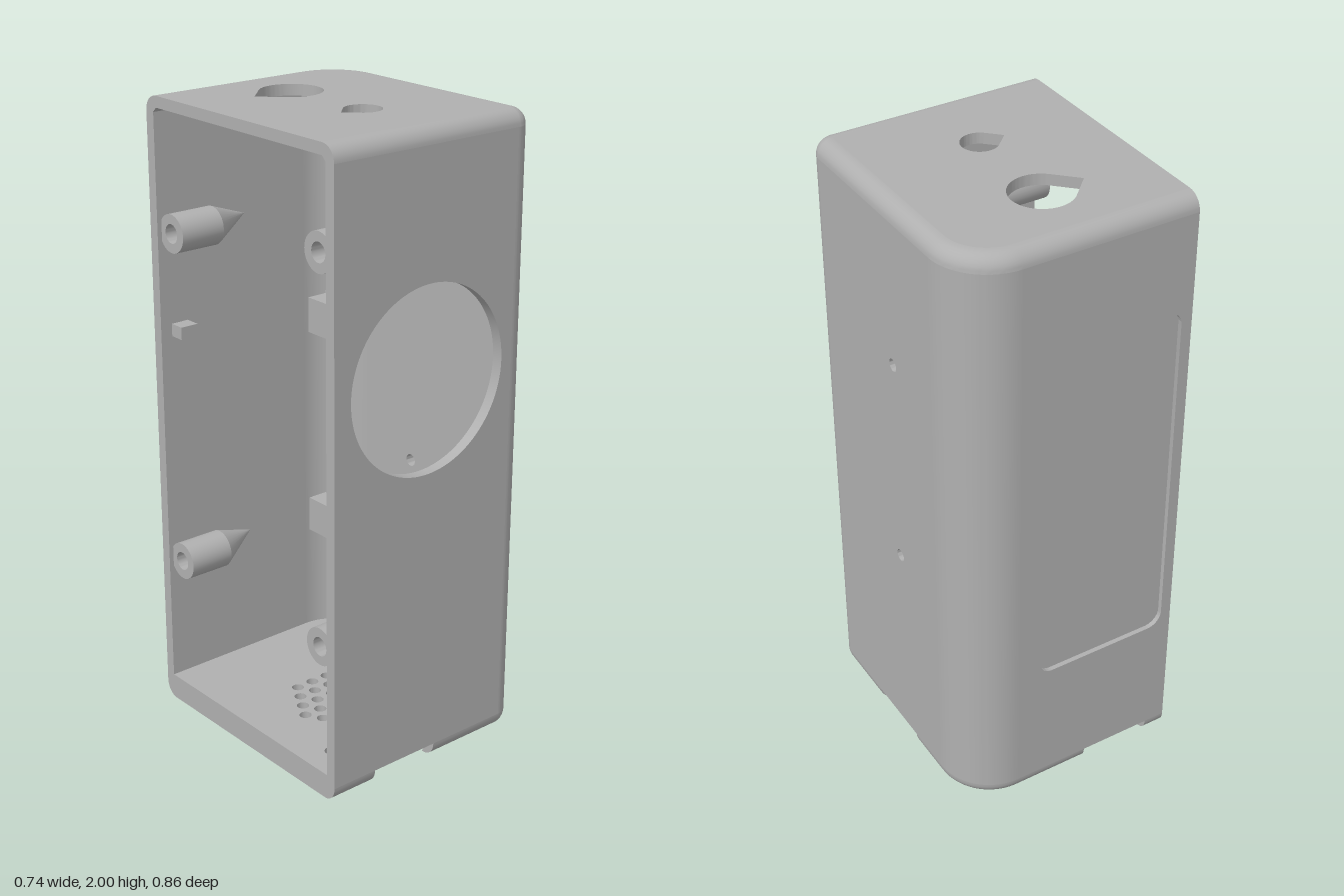
import * as THREE from 'three';
import { toCreasedNormals } from 'three/addons/utils/BufferGeometryUtils.js';

const X0 = -0.37, X1 = 0.37, Z0 = -0.43, Z1 = 0.43, H = 2;
const WALL = 0.035, F = 0.05, R_BACK = 0.18, R_FRONT = 0.06;

export function createModel() {
  const group = new THREE.Group();
  const grey = new THREE.MeshStandardMaterial({ color: 0xb0b0b0 });
  grey.name = 'grey plastic';

  const add = (name, geo, crease = 0.6) => {
    const mesh = new THREE.Mesh(toCreasedNormals(geo, crease), grey);
    mesh.name = name;
    group.add(mesh);
    return mesh;
  };
  const box = (name, x0, x1, y0, y1, z0, z1) => add(name,
    new THREE.BoxGeometry(x1 - x0, y1 - y0, z1 - z0)
      .translate((x0 + x1) / 2, (y0 + y1) / 2, (z0 + z1) / 2));

  // Outline points with outward normals, running back -> side -> front
  const pt = (x, z, nx, nz) => ({ x, z, nx, nz });
  const onBack = (x) => pt(x, Z0, 0, -1);
  const onSide = (z) => pt(X1, z, 1, 0);
  const onFront = (x) => pt(x, Z1, 0, 1);
  const arc = (cx, cz, r, a0, n = 16) => Array.from({ length: n + 1 }, (_, i) => {
    const a = a0 + (i / n) * Math.PI / 2, c = Math.cos(a), s = Math.sin(a);
    return pt(cx + r * c, cz + r * s, c, s);
  });
  const backCorner = arc(X1 - R_BACK, Z0 + R_BACK, R_BACK, -Math.PI / 2, 24);
  const frontCorner = arc(X1 - R_FRONT, Z1 - R_FRONT, R_FRONT, 0);
  const fullPath = [onBack(X0), ...backCorner, ...frontCorner, onFront(X0)];

  // Sweeps a convex profile of [inset, height] points along a path
  const sweep = (path, profile) => {
    const n = profile.length, pos = [], idx = [];
    path.forEach((p) => profile.forEach(([d, y]) => pos.push(p.x - p.nx * d, y, p.z - p.nz * d)));
    for (let i = 0; i < path.length - 1; i++) {
      for (let j = 0; j < n; j++) {
        const a = i * n + j, b = i * n + (j + 1) % n;
        idx.push(a, a + n, b + n, a, b + n, b);
      }
    }
    const last = (path.length - 1) * n;
    for (let j = 1; j < n - 1; j++) idx.push(0, j, j + 1, last, last + j + 1, last + j);
    const g = new THREE.BufferGeometry();
    g.setAttribute('position', new THREE.Float32BufferAttribute(pos, 3));
    g.setIndex(idx);
    return g;
  };

  // Shape helpers
  const rect = (x0, y0, x1, y1) => new THREE.Shape([[x0, y0], [x1, y0], [x1, y1], [x0, y1]]
    .map(([x, y]) => new THREE.Vector2(x, y)));
  const circle = (x, y, r) => new THREE.Path().absarc(x, y, r, 0, Math.PI * 2, false);
  const teardrop = (x, y, r) => {
    const p = new THREE.Path();
    p.absarc(x, y, r, -Math.PI * 0.75, Math.PI * 0.75, false);
    p.lineTo(x - r * Math.SQRT2, y);
    p.closePath();
    return p;
  };
  const roundedRect = (x0, y0, x1, y1, r) => {
    const p = new THREE.Path(), q = Math.PI / 2;
    p.absarc(x1 - r, y1 - r, r, 0, q);
    p.absarc(x0 + r, y1 - r, r, q, 2 * q);
    p.absarc(x0 + r, y0 + r, r, 2 * q, 3 * q);
    p.absarc(x1 - r, y0 + r, r, 3 * q, 4 * q);
    p.closePath();
    return p;
  };
  const slab = (shape, holes, depth, curveSegments = 32) => {
    shape.holes.push(...holes);
    return new THREE.ExtrudeGeometry(shape, { depth, bevelEnabled: false, curveSegments });
  };
  const outline = (d) => new THREE.Shape(fullPath.map((p) =>
    new THREE.Vector2(p.x - p.nx * d, -(p.z - p.nz * d))));

  // Front wall with round window
  add('frontWall', slab(rect(X0, F, X1 - R_FRONT, H - F), [circle(-0.02, 1.265, 0.29)], WALL, 64)
    .translate(0, 0, Z1 - WALL));

  // Back wall with shallow label recess
  add('backWallOuter', slab(rect(X0, F, X1 - R_BACK, H - F),
    [roundedRect(-0.335, 0.47, 0.12, 1.65, 0.05)], 0.015).translate(0, 0, Z0));
  box('backWallInner', X0, X1 - R_BACK, F, H - F, Z0 + 0.015, Z0 + WALL);

  // Side wall with two small holes
  add('sideWall', slab(rect(-(Z1 - R_FRONT), F, -(Z0 + R_BACK), H - F),
    [circle(0.03, 1.48, 0.02), circle(0.03, 0.775, 0.02)], WALL)
    .rotateY(Math.PI / 2).translate(X1 - WALL, 0, 0));

  // Rounded upright corners
  const wallProfile = [[0, H - F], [0, F], [WALL, F], [WALL, H - F]];
  add('backCorner', sweep(backCorner, wallProfile));
  add('frontCorner', sweep(frontCorner, wallProfile));

  // Top panel with teardrop openings, and its rounded rim
  add('topPanel', slab(outline(F), [teardrop(-0.02, 0.187, 0.096), teardrop(-0.02, -0.137, 0.057)], WALL)
    .rotateX(-Math.PI / 2).translate(0, H - WALL, 0));
  const rim = [], foot = [], STEPS = 8;
  for (let i = 0; i <= STEPS; i++) {
    const a = (i / STEPS) * Math.PI / 2;
    rim.push([F - F * Math.sin(a), H - F + F * Math.cos(a)]);
    foot.push([0.045 - 0.045 * Math.cos(a), F - F * Math.sin(a)]);
  }
  rim.push([WALL, H - F], [F, H - WALL]);
  foot.push([F, 0], [F, F]);
  add('topRim', sweep(fullPath, rim));

  // Base skirt, interrupted by three notches, closed on the open side
  [
    [onBack(X0), onBack(-0.3)],
    [onBack(-0.06), ...backCorner, onSide(-0.09)],
    [onSide(0.155), ...frontCorner, onFront(0.03)],
    [onFront(-0.21), onFront(X0)],
  ].forEach((path) => add('baseSkirt', sweep(path, foot)));
  box('openSideSkirt', X0, X0 + WALL, 0, F, Z0 + F, Z1 - F);

  // Floor with hexagonal grille and two screw holes
  const floorHoles = [circle(-0.27, -0.3, 0.024), circle(0.2, 0.26, 0.024)];
  for (let row = -3; row <= 3; row++) {
    const count = 7 - Math.abs(row);
    for (let i = 0; i < count; i++) {
      floorHoles.push(circle(-0.02 + (i - (count - 1) / 2) * 0.06, -(0.083 + row * 0.05), 0.0195));
    }
  }
  add('floorGrille', slab(outline(0.02), floorHoles, 0.032, 10)
    .rotateX(-Math.PI / 2).translate(0, F, 0));

  // Screw bosses on the front and back walls, each with a tapered support
  const boss = (y, side) => {
    const r = 0.06, len = 0.15, xs = X0 + 0.015, wallZ = side * (Z1 - WALL), z = wallZ - side * 0.05;
    const s = new THREE.Shape();
    s.absarc(0, 0, r, 0, Math.PI * 2, false);
    add('screwBoss', slab(s, [circle(0, 0, 0.03)], len, 16)
      .rotateY(Math.PI / 2).translate(xs, y, z));
    const taper = new THREE.ConeGeometry(r, 0.16, 32, 1).rotateZ(-Math.PI / 2)
      .translate(xs + len + 0.08, y, z);
    const p = taper.attributes.position;
    for (let i = 0; i < p.count; i++) { // lean the tip onto the wall
      const t = (p.getX(i) - xs - len) / 0.16;
      p.setZ(i, p.getZ(i) + t * (wallZ - z));
    }
    add('bossSupport', taper);
  };
  boss(1.69, 1);
  boss(0.49, 1);
  boss(1.59, -1);
  boss(0.51, -1);

  // Retaining clips beside the window
  const inner = Z1 - WALL;
  [[1.5, 1], [0.9, -1]].forEach(([y, dir]) => {
    box('clipBlock', -0.35, -0.29, y - 0.05, y + 0.05, inner - 0.1, inner);
    const py = y + dir * 0.045;
    box('clipPlate', -0.29, -0.17, py - 0.012, py + 0.012, inner - 0.1, inner);
  });
  box('backClip', -0.33, -0.27, 1.25, 1.29, -inner, -inner + 0.05);

  return group;
}
